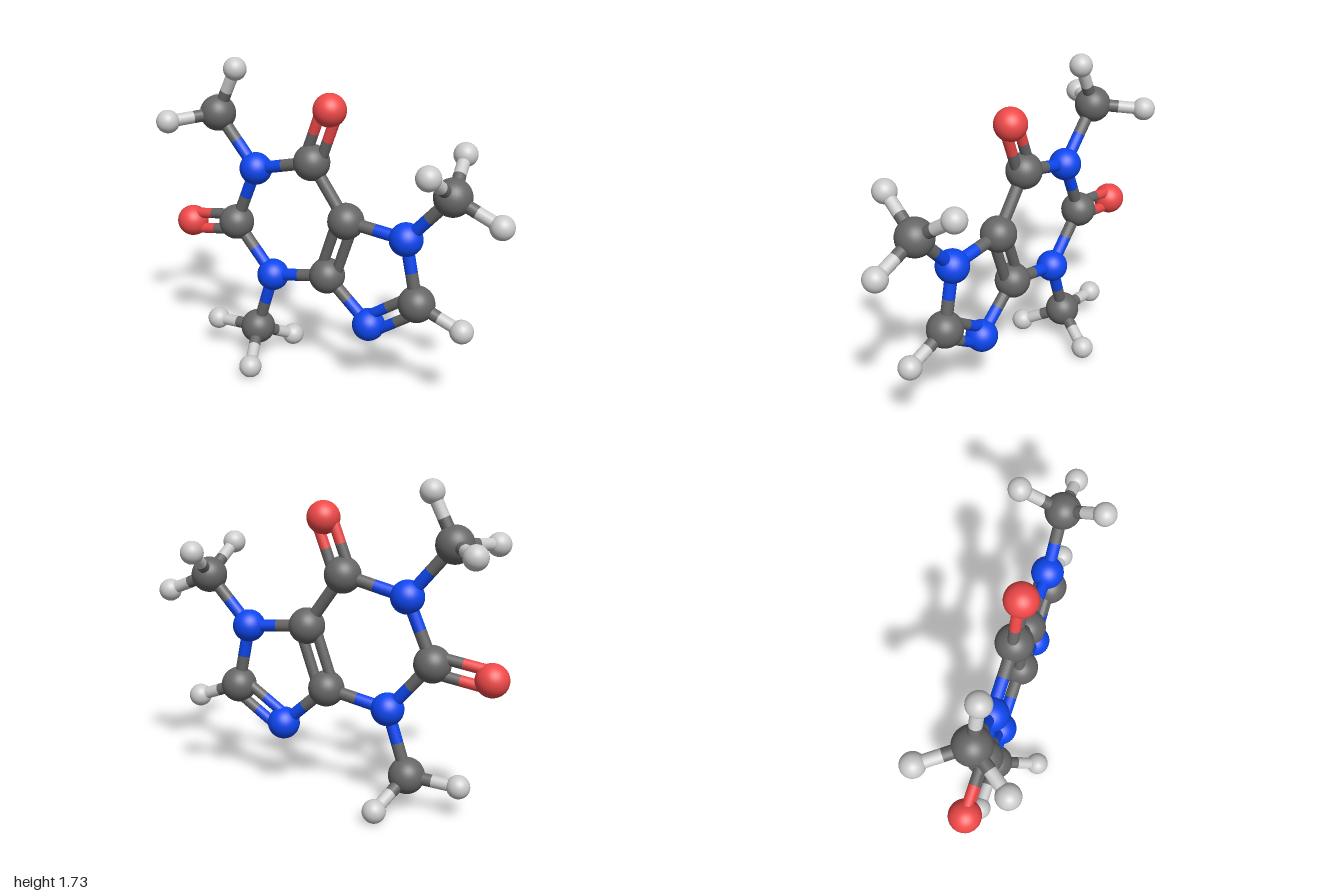
import * as THREE from 'three';

// Elements: sphere radius and colour
const ELEMENTS = {
  carbon: { radius: 0.097, color: 0x666666 },
  nitrogen: { radius: 0.088, color: 0x0d47f0 },
  oxygen: { radius: 0.087, color: 0xf04848 },
  hydrogen: { radius: 0.062, color: 0xc0c0c0 },
};

// Atoms: element, x, y, z
const ATOMS = {
  N1: ['nitrogen', -0.467, 1.148, 0],
  C2: ['carbon', -0.607, 0.816, 0],
  N3: ['nitrogen', -0.372, 0.545, 0],
  C4: ['carbon', -0.024, 0.615, 0],
  C5: ['carbon', 0.089, 0.947, 0],
  C6: ['carbon', -0.115, 1.235, 0],
  N7: ['nitrogen', 0.436, 0.914, 0],
  C8: ['carbon', 0.506, 0.572, 0],
  N9: ['nitrogen', 0.231, 0.386, 0],
  O2: ['oxygen', -0.915, 0.768, 0],
  O6: ['oxygen', -0.007, 1.524, 0],
  H8: ['hydrogen', 0.759, 0.477, 0],
  M1: ['carbon', -0.703, 1.426, 0],
  M3: ['carbon', -0.484, 0.196, 0],
  M7: ['carbon', 0.677, 1.179, 0],
  H1a: ['hydrogen', -0.581, 1.676, 0],
  H3a: ['hydrogen', -0.764, 0.179, 0],
  H7a: ['hydrogen', 0.933, 1.072, 0],
};
// In the first and third methyl groups the paired hydrogens sit in front and behind
const PAIRS = { H1: ['M1', -0.866, 1.406], H3: ['M3', -0.389, 0.068], H7: ['M7', 0.643, 1.332] };

const BONDS = [
  ['N1', 'C2'], ['C2', 'N3'], ['N3', 'C4'], ['C4', 'C5', 2], ['C5', 'C6'], ['C6', 'N1'],
  ['C5', 'N7'], ['N7', 'C8'], ['C8', 'N9', 2], ['N9', 'C4'],
  ['C2', 'O2', 2], ['C6', 'O6', 2], ['C8', 'H8'],
  ['N1', 'M1'], ['N3', 'M3'], ['N7', 'M7'],
  ['M1', 'H1a'], ['M3', 'H3a'], ['M7', 'H7a'],
];

export function createModel() {
  const model = new THREE.Group();
  model.name = 'molecule';

  const materials = {};
  const spheres = {};
  for (const [element, { radius, color }] of Object.entries(ELEMENTS)) {
    materials[element] = new THREE.MeshStandardMaterial({ color });
    spheres[element] = new THREE.SphereGeometry(radius, 32, 20);
  }

  const atoms = { ...ATOMS };
  const bonds = [...BONDS];
  for (const [name, [carbon, x, y]] of Object.entries(PAIRS)) {
    for (const [suffix, z] of [['b', 0.225], ['c', -0.225]]) {
      atoms[name + suffix] = ['hydrogen', x, y, z];
      bonds.push([carbon, name + suffix]);
    }
  }

  // Atom spheres
  for (const [element, x, y, z] of Object.values(atoms)) {
    const atom = new THREE.Mesh(spheres[element], materials[element]);
    atom.name = element + 'Atom';
    atom.position.set(x, y, z);
    model.add(atom);
  }

  // A rod between two points
  const up = new THREE.Vector3(0, 1, 0);
  function rod(from, to, radius, material) {
    const dir = to.clone().sub(from);
    const mesh = new THREE.Mesh(new THREE.CylinderGeometry(radius, radius, dir.length(), 16), material);
    mesh.position.copy(from).lerp(to, 0.5);
    mesh.quaternion.setFromUnitVectors(up, dir.normalize());
    mesh.name = 'bondHalf';
    return mesh;
  }

  // Bonds: each half takes the colour of its atom; double bonds lie side by side in the ring plane
  for (const [nameA, nameB, order = 1] of bonds) {
    const [elementA, ...a] = atoms[nameA];
    const [elementB, ...b] = atoms[nameB];
    const start = new THREE.Vector3(...a);
    const end = new THREE.Vector3(...b);
    const dir = end.clone().sub(start).normalize();
    const side = new THREE.Vector3(-dir.y, dir.x, 0).normalize();
    const bond = new THREE.Group();
    bond.name = order === 2 ? 'doubleBond' : 'singleBond';
    const radius = order === 2 ? 0.029 : 0.033;
    for (const shift of order === 2 ? [-0.045, 0.045] : [0]) {
      const p = start.clone().addScaledVector(side, shift);
      const q = end.clone().addScaledVector(side, shift);
      const mid = p.clone().lerp(q, 0.5);
      bond.add(rod(p, mid, radius, materials[elementA]), rod(mid, q, radius, materials[elementB]));
    }
    model.add(bond);
  }
  return model;
}
